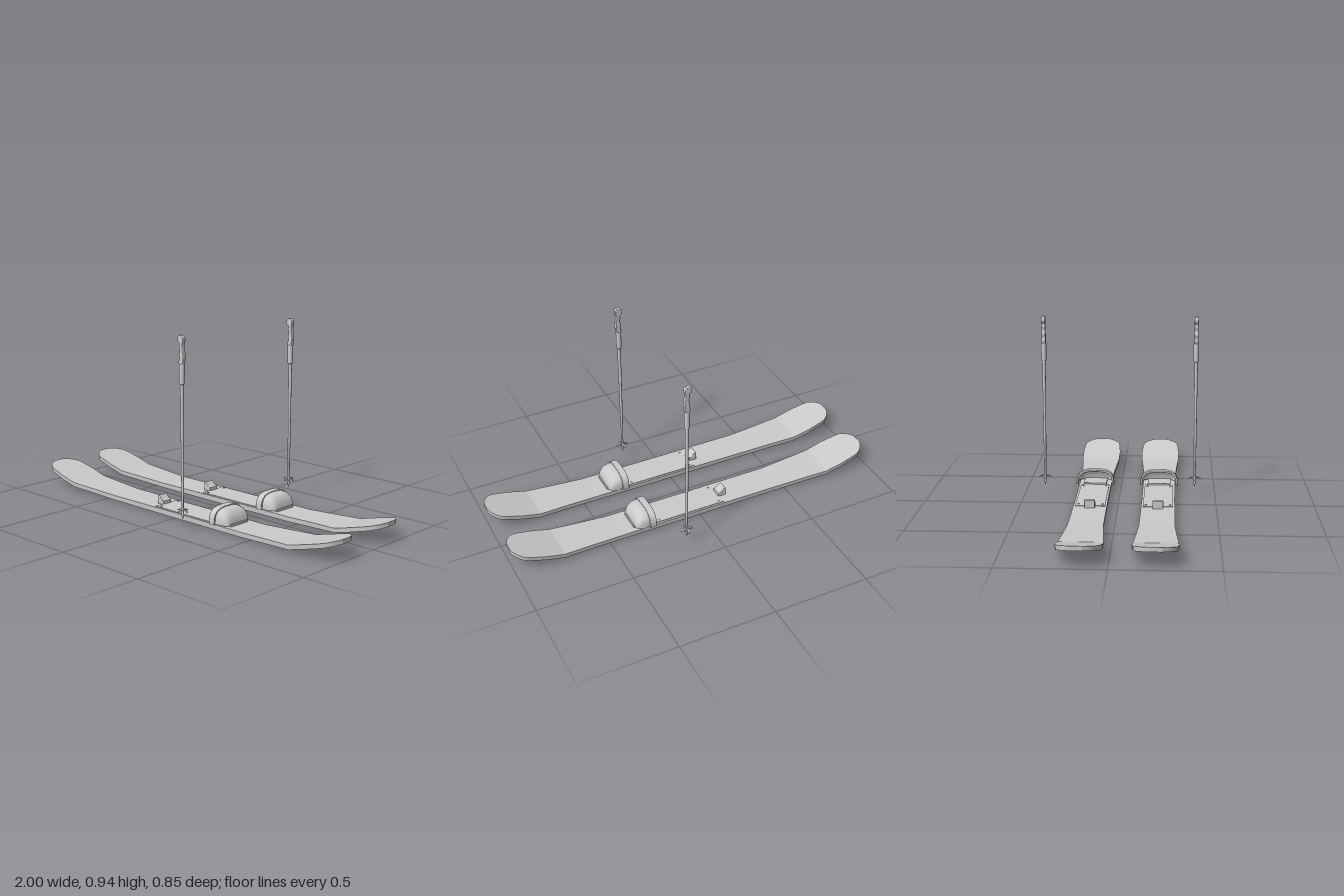
import * as THREE from 'three';

const material = new THREE.MeshStandardMaterial({ color: 0xcccccc, side: THREE.DoubleSide });

function part(name, geometry, x = 0, y = 0, z = 0) {
  const mesh = new THREE.Mesh(geometry, material);
  mesh.name = name;
  mesh.position.set(x, y, z);
  return mesh;
}

// Piecewise linear lookup in a short list of [position, value] pairs
function lookup(table, t) {
  for (let i = 1; i < table.length; i++) {
    const [a, va] = table[i - 1], [b, vb] = table[i];
    if (t <= b) return va + (vb - va) * (t - a) / (b - a);
  }
  return table[table.length - 1][1];
}

// Extrude a side or front outline, centred on its depth
function slab(shape, depth, bevel = 0) {
  const geometry = new THREE.ExtrudeGeometry(shape, {
    depth: depth - 2 * bevel, curveSegments: 16, bevelEnabled: bevel > 0,
    bevelSize: bevel, bevelThickness: bevel, bevelOffset: -bevel, bevelSegments: 3,
  });
  return geometry.translate(0, 0, -depth / 2 + bevel);
}

// Ski board: a box narrowed at the waist and turned up at both ends
const halfWidth = [[0, 0.084], [0.45, 0.086], [0.6, 0.094], [0.75, 0.104], [0.84, 0.107], [0.925, 0.1],
  [0.95, 0.094], [0.975, 0.075], [0.99, 0.052], [1, 0.028]];
const rise = [[0, 0], [0.45, 0.002], [0.75, 0.017], [1, 0.083]];

function boardGeometry() {
  const geometry = new THREE.BoxGeometry(2, 1, 2, 200, 1, 8);
  const p = geometry.attributes.position;
  for (let i = 0; i < p.count; i++) {
    const d = Math.abs(p.getX(i));
    const top = p.getY(i) > 0;
    p.setY(i, lookup(rise, d) + (top ? 0.028 - 0.006 * d : 0));
    p.setZ(i, p.getZ(i) * (lookup(halfWidth, d) - (top ? 0 : 0.002)));
  }
  geometry.computeVertexNormals();
  return geometry;
}

// Point on a squared-off arch across the ski, a from 0 to PI
function archPoint(a, w, h) {
  const c = Math.cos(a), s = Math.max(0, Math.sin(a));
  return [w * Math.sign(c) * Math.abs(c) ** 0.65, h * s ** 0.65];
}

// Toe hood: arches that shrink towards the front
function hoodGeometry() {
  const sections = [[0.28, 0.092, 0.074], [0.3, 0.091, 0.073], [0.318, 0.089, 0.069], [0.332, 0.085, 0.059],
    [0.343, 0.079, 0.044], [0.351, 0.071, 0.025], [0.355, 0.062, 0]];
  const steps = 28, points = [], index = [];
  sections.forEach(([x, w, h], i) => {
    for (let j = 0; j <= steps; j++) {
      const [z, y] = archPoint(Math.PI * j / steps, w, h);
      points.push(x, 0.032 + y, z);
      if (i && j) {
        const b = i * (steps + 1) + j, a = b - steps - 1;
        index.push(a - 1, b - 1, b, a - 1, b, a);
      }
    }
  });
  const geometry = new THREE.BufferGeometry();
  geometry.setAttribute('position', new THREE.Float32BufferAttribute(points, 3));
  geometry.setIndex(index);
  geometry.computeVertexNormals();
  return geometry;
}

// Thick arched band around the open end of the hood
function bandGeometry() {
  const outline = [];
  for (let j = 0; j <= 28; j++) outline.push(new THREE.Vector2(...archPoint(Math.PI * j / 28, 0.1, 0.08)));
  for (let j = 28; j >= 0; j--) outline.push(new THREE.Vector2(...archPoint(Math.PI * j / 28, 0.089, 0.069)));
  return slab(new THREE.Shape(outline), 0.036, 0.003).rotateY(Math.PI / 2);
}

// Heel stop: a wedge with a scooped front
function heelGeometry() {
  const side = new THREE.Shape();
  side.moveTo(-0.18, 0.027);
  side.lineTo(-0.18, 0.068);
  side.quadraticCurveTo(-0.172, 0.073, -0.163, 0.066);
  side.quadraticCurveTo(-0.152, 0.05, -0.137, 0.047);
  side.lineTo(-0.135, 0.027);
  return slab(side, 0.054, 0.003);
}

function createSki(name, z) {
  const ski = new THREE.Group();
  ski.name = name;
  ski.position.z = z;
  ski.add(part('board', boardGeometry()));
  ski.add(part('bindingPlate', new THREE.BoxGeometry(0.4, 0.008, 0.15), 0.055, 0.027, 0));
  ski.add(part('toeBase', new THREE.BoxGeometry(0.11, 0.014, 0.12), 0.305, 0.032, 0));
  ski.add(part('toeHood', hoodGeometry()));
  ski.add(part('toeBand', bandGeometry(), 0.268, 0.03, 0));
  ski.add(part('heelStop', heelGeometry()));
  // Screws at the corners of the binding plate
  for (const x of [-0.12, 0.22]) for (const s of [-1, 1])
    ski.add(part('screw', new THREE.CylinderGeometry(0.005, 0.005, 0.004, 12), x, 0.032, s * 0.06));
  return ski;
}

// Basket arm: a tapered strip that droops outwards
function armGeometry() {
  const geometry = new THREE.BoxGeometry(0.032, 0.004, 0.013, 8, 1, 1).translate(0.016, 0, 0);
  const p = geometry.attributes.position;
  for (let i = 0; i < p.count; i++) {
    const t = p.getX(i) / 0.032;
    p.setY(i, p.getY(i) - 0.008 * t ** 3);
    p.setZ(i, p.getZ(i) * (1 - 0.3 * t));
  }
  geometry.computeVertexNormals();
  return geometry;
}

// Upper grip: finger waves on one side and a leaning knob on top
function gripGeometry() {
  const front = [[-0.012, 0.805], [-0.014, 0.82], [-0.009, 0.835], [-0.012, 0.853], [-0.007, 0.872],
    [-0.011, 0.89], [-0.01, 0.905], [-0.021, 0.918], [-0.021, 0.933], [-0.013, 0.945]];
  const back = [[0.008, 0.945], [0.015, 0.937], [0.016, 0.92], [0.012, 0.9], [0.015, 0.87], [0.017, 0.84], [0.013, 0.805]];
  const vec = (list) => list.map(([x, y]) => new THREE.Vector2(x, y));
  const shape = new THREE.Shape();
  shape.moveTo(...front[0]);
  shape.splineThru(vec(front.slice(1)));
  shape.lineTo(...back[0]);
  shape.splineThru(vec(back.slice(1)));
  shape.closePath();
  const geometry = new THREE.ExtrudeGeometry(shape, {
    depth: 0.01, curveSegments: 30, bevelThickness: 0.005, bevelSize: 0.004, bevelOffset: -0.004, bevelSegments: 4,
  });
  return geometry.translate(0, 0, -0.005);
}

function lathe(profile) {
  return new THREE.LatheGeometry(profile.map(([r, y]) => new THREE.Vector2(r, y)), 20);
}

function createPole(name, z) {
  const pole = new THREE.Group();
  pole.name = name;
  pole.position.set(0.162, 0, z);
  pole.add(part('tip', lathe([[0, 0.052], [0.003, 0.06], [0.006, 0.068], [0.006, 0.1]])));
  pole.add(part('shaft', lathe([[0.005, 0.09], [0.007, 0.3], [0.009, 0.72]])));
  pole.add(part('basketHub', new THREE.CylinderGeometry(0.008, 0.01, 0.012, 16), 0, 0.102, 0));
  for (let i = 0; i < 4; i++) {
    const arm = part('basketArm', armGeometry(), 0, 0.102, 0);
    arm.rotation.y = i * Math.PI / 2;
    pole.add(arm);
  }
  pole.add(part('lowerGrip', lathe([[0, 0.712], [0.011, 0.712], [0.013, 0.716], [0.0135, 0.77], [0.014, 0.804], [0.012, 0.809], [0, 0.809]])));
  pole.add(part('upperGrip', gripGeometry()));
  return pole;
}

export function createModel() {
  const model = new THREE.Group();
  model.name = 'skisAndPoles';
  model.add(createSki('frontSki', 0.205), createSki('backSki', -0.135));
  model.add(createPole('frontPole', 0.392), createPole('backPole', -0.392));
  return model;
}
